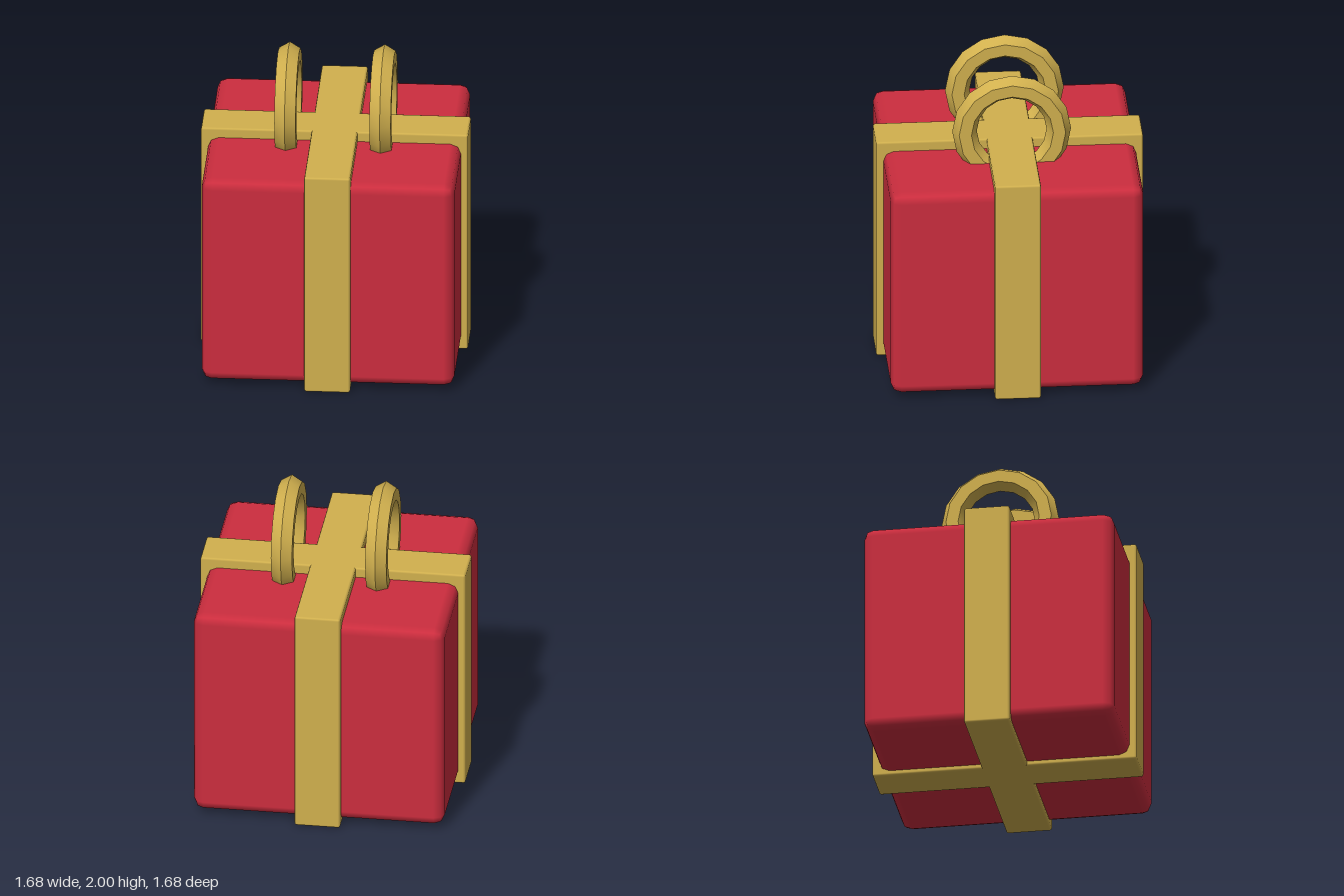
import * as THREE from 'three';
import { toCreasedNormals } from 'three/addons/utils/BufferGeometryUtils.js';
import { RoundedBoxGeometry } from 'three/addons/geometries/RoundedBoxGeometry.js';

export function createModel() {
  const red = new THREE.MeshStandardMaterial({ name: 'wrapping red', color: 0xcc2d3e });
  const gold = new THREE.MeshStandardMaterial({ name: 'ribbon gold', color: 0xd1b04e });
  const model = new THREE.Group();
  model.name = 'giftBox';

  const add = (name, geometry, material, x, y, z) => {
    const mesh = new THREE.Mesh(geometry, material);
    mesh.name = name;
    mesh.position.set(x, y, z);
    model.add(mesh);
    return mesh;
  };

  // Wrapped box with softly bevelled edges
  add('box', new RoundedBoxGeometry(1.595, 1.395, 1.595, 1, 0.065), red, 0, 0.7275, 0);

  // Two crossing ribbon bands that stand proud of the box on every side
  const band = new RoundedBoxGeometry(0.29, 1.49, 1.685, 1, 0.014);
  add('ribbonFrontToBack', band, gold, 0, 0.745, 0);
  add('ribbonSideToSide', band, gold, 0, 0.745, 0).rotation.y = Math.PI / 2;

  // Bow loops: six-sided rings standing upright on the side-to-side ribbon
  const loop = toCreasedNormals(new THREE.TorusGeometry(0.2975, 0.0775, 6, 16), 0.7);
  loop.rotateY(Math.PI / 2);
  for (const side of [1, -1]) {
    add(side > 0 ? 'leftBowLoop' : 'rightBowLoop', loop, gold, side * 0.3, 1.625, 0);
  }

  return model;
}
